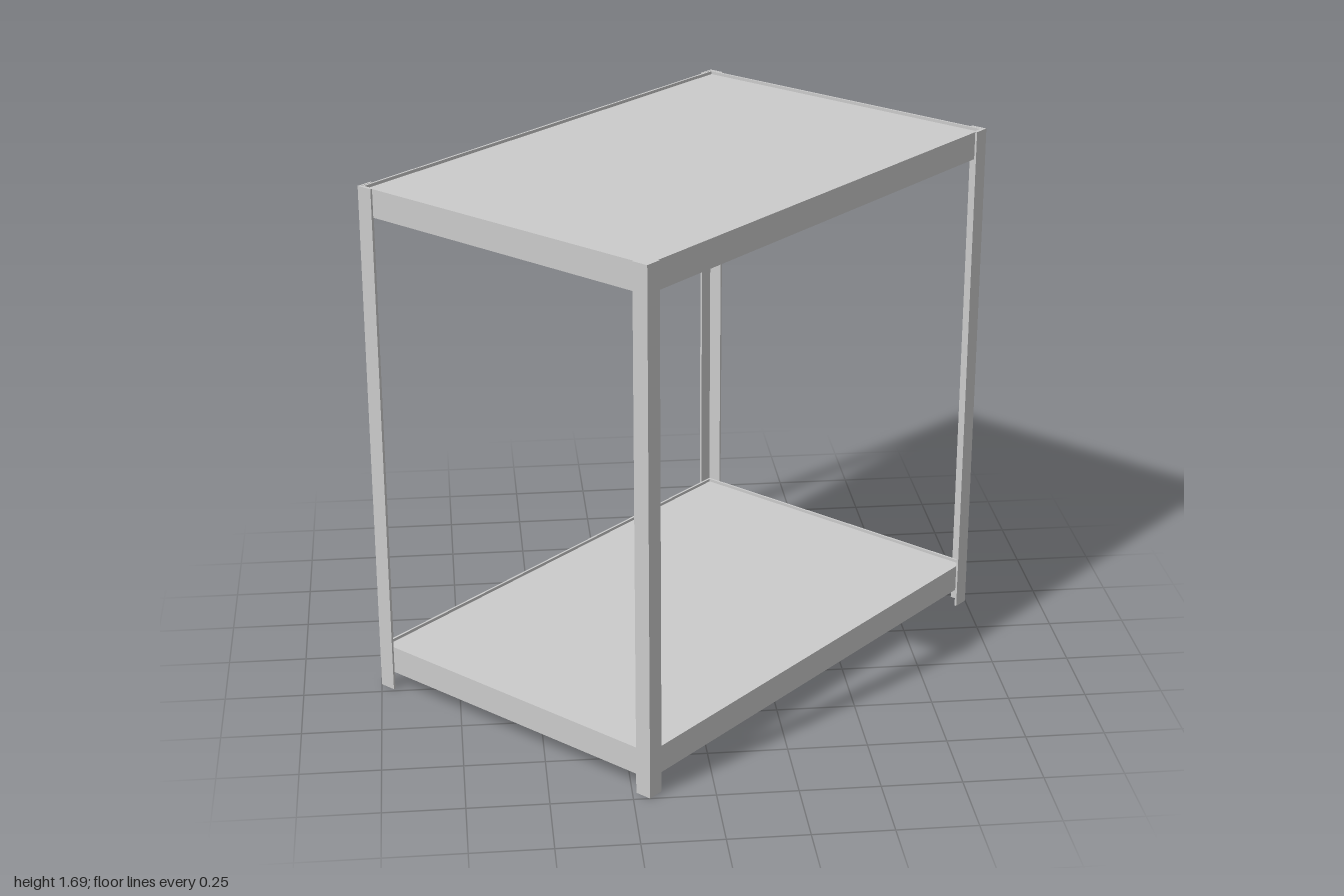
import * as THREE from 'three';

const LENGTH = 1.697, DEPTH = 1.131, HEIGHT = 1.69;
const FLANGE = 0.054, T = 0.007;       // angle-iron leg: flange width, thickness
const BEAM_H = 0.09, BEAM_T = 0.007;   // shelf rails

export function createModel() {
  const model = new THREE.Group();
  model.name = 'shelfTable';
  const frame = new THREE.Group();
  frame.name = 'frame';
  frame.rotation.y = Math.PI / 4;      // the table stands diagonally
  model.add(frame);

  const material = new THREE.MeshStandardMaterial({ color: 0xcccccc, flatShading: true });
  const add = (name, geometry, x, y, z) => {
    const mesh = new THREE.Mesh(geometry, material);
    mesh.name = name;
    mesh.position.set(x, y, z);
    frame.add(mesh);
    return mesh;
  };

  // L-shaped legs, outer corner at the origin, opening towards the middle
  const corner = new THREE.Shape([[0, 0], [FLANGE, 0], [FLANGE, T], [T, T], [T, FLANGE], [0, FLANGE]]
    .map(([x, y]) => new THREE.Vector2(x, y)));
  const legGeometry = new THREE.ExtrudeGeometry(corner, { depth: HEIGHT, bevelEnabled: false });
  legGeometry.rotateX(-Math.PI / 2);   // flanges now run along +x and -z
  const legs = [[-1, 1, 0], [1, 1, 1], [1, -1, 2], [-1, -1, 3]];
  for (const [sx, sz, turn] of legs) {
    const leg = add('leg', legGeometry, sx * LENGTH / 2, 0, sz * DEPTH / 2);
    leg.rotation.y = turn * Math.PI / 2;
  }

  // Two shelves: rails inside the legs around a slightly sunken panel
  const innerL = LENGTH - 2 * T, innerD = DEPTH - 2 * T;
  const longRail = new THREE.BoxGeometry(innerL, BEAM_H, BEAM_T);
  const shortRail = new THREE.BoxGeometry(BEAM_T, BEAM_H, innerD - 2 * BEAM_T);
  const panel = new THREE.BoxGeometry(innerL - 2 * BEAM_T, 0.025, innerD - 2 * BEAM_T);
  for (const [name, top] of [['lower', 0.15], ['upper', HEIGHT - 0.001]]) {
    const y = top - BEAM_H / 2;
    for (const s of [-1, 1]) {
      add(name + 'LongRail', longRail, 0, y, s * (innerD - BEAM_T) / 2);
      add(name + 'ShortRail', shortRail, s * (innerL - BEAM_T) / 2, y, 0);
    }
    add(name + 'Panel', panel, 0, top - 0.0225, 0);
  }
  return model;
}
